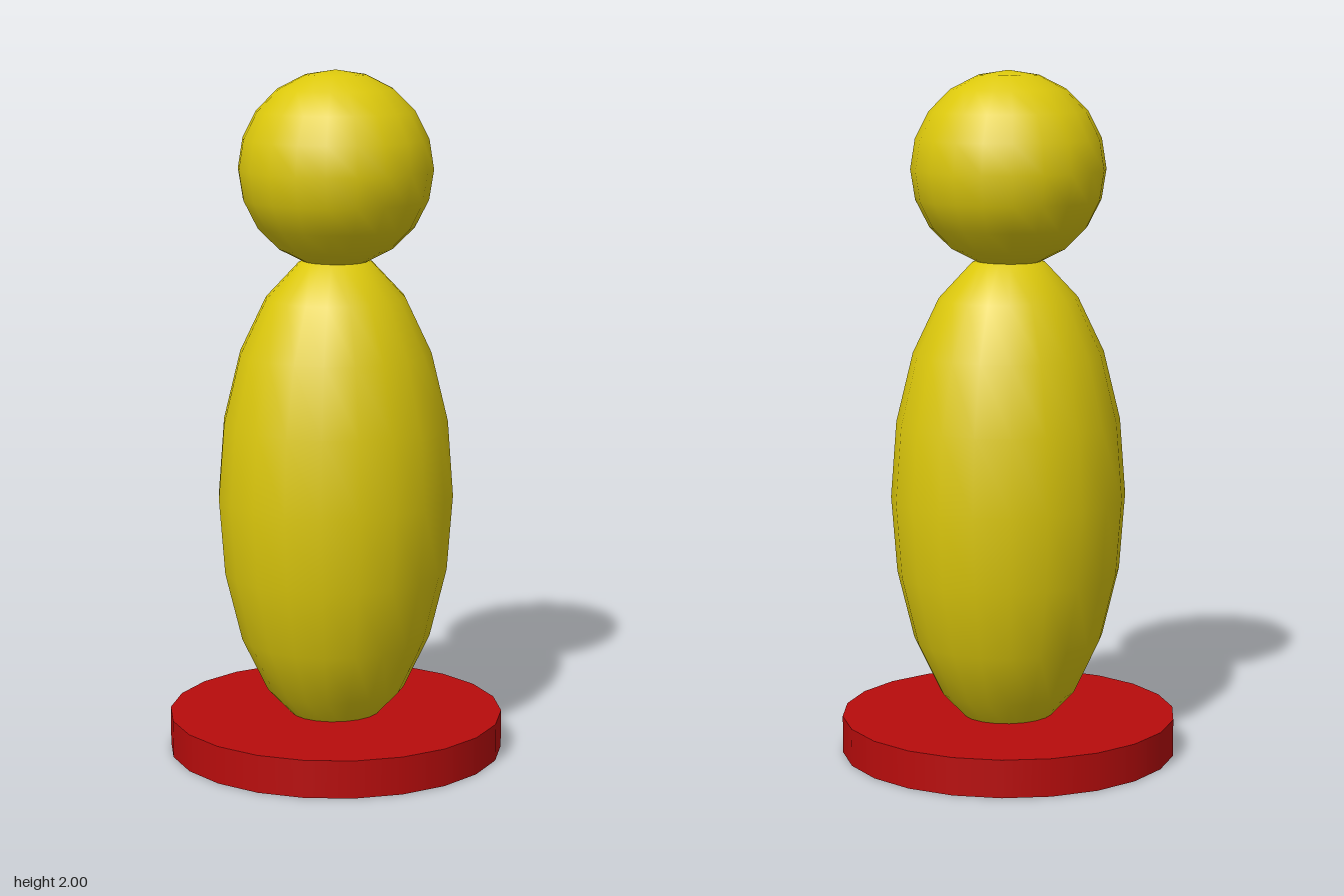
import * as THREE from 'three';

export function createModel() {
  const model = new THREE.Group();
  const yellow = new THREE.MeshStandardMaterial({ color: 0xdcc80c });
  const red = new THREE.MeshStandardMaterial({ color: 0xb80c0c });

  function add(name, geometry, material, y) {
    const mesh = new THREE.Mesh(geometry, material);
    mesh.name = name;
    mesh.position.y = y;
    model.add(mesh);
    return mesh;
  }

  // Round foot plate, turned so that two corners lie on the x axis
  const base = new THREE.CylinderGeometry(0.492, 0.492, 0.11, 22);
  base.rotateY(Math.PI / 2);
  add('base', base, red, 0.055);

  // Tall egg-shaped body, slightly wider than deep, sunk into the base
  const body = new THREE.SphereGeometry(1, 20, 10);
  add('body', body, yellow, 0.765).scale.set(0.35, 0.72, 0.331);

  // Ball head resting on the body
  add('head', new THREE.SphereGeometry(0.282, 20, 10), yellow, 1.718);

  return model;
}
